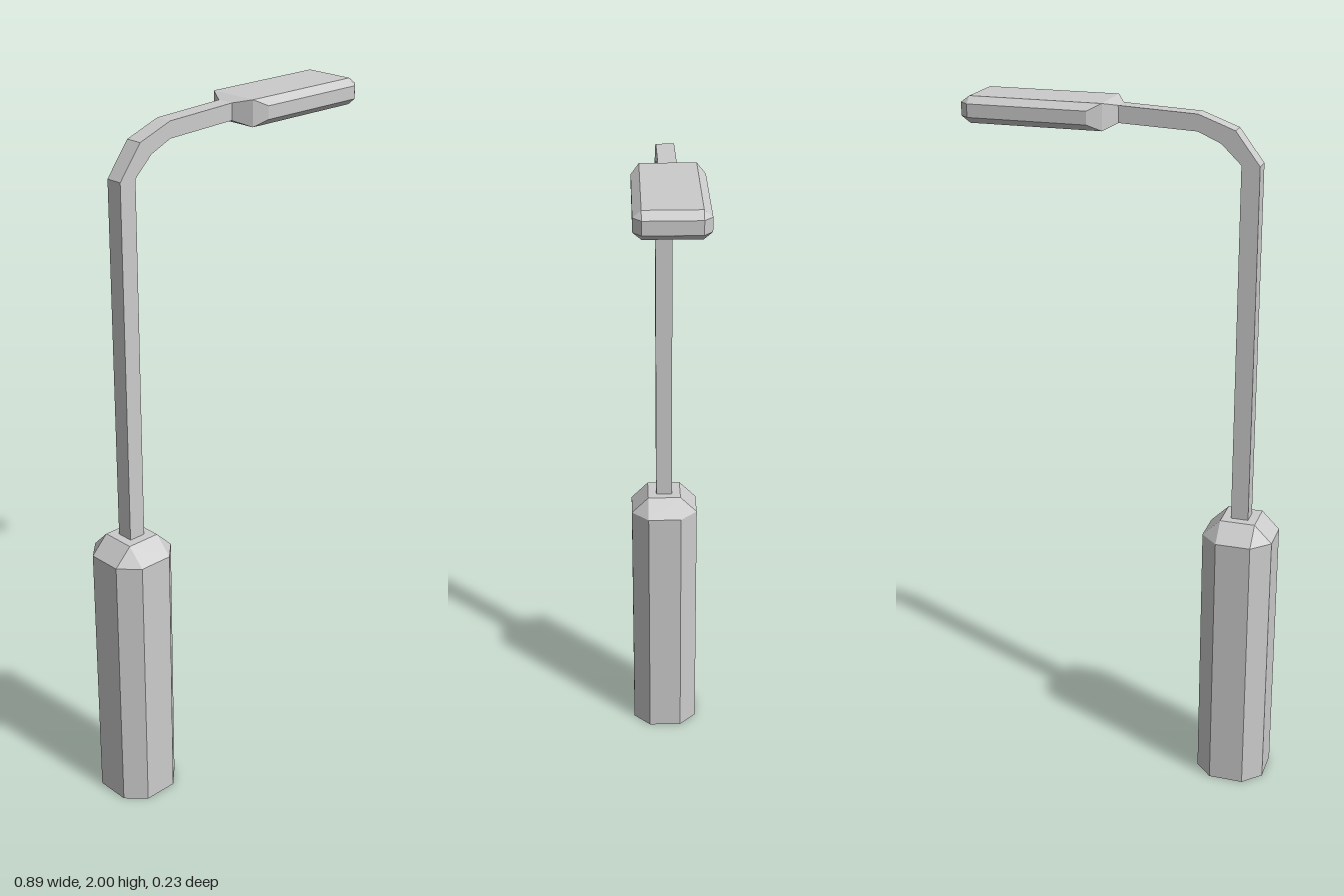
import * as THREE from 'three';
import { ConvexGeometry } from 'three/addons/geometries/ConvexGeometry.js';

const material = new THREE.MeshStandardMaterial({ color: 0xcccccc, flatShading: true });

function addPart(parent, name, geometry) {
  const mesh = new THREE.Mesh(geometry, material);
  mesh.name = name;
  parent.add(mesh);
  return mesh;
}

// Convex solid from [x, y, z] points, each mirrored across z = 0
function mirroredHull(points) {
  return new ConvexGeometry(points.flatMap(([x, y, z]) => [
    new THREE.Vector3(x, y, z),
    new THREE.Vector3(x, y, -z),
  ]));
}

export function createModel() {
  const model = new THREE.Group();
  model.name = 'streetLamp';

  // Lamp with its pole on the local y axis and its arm along local x
  const lamp = new THREE.Group();
  lamp.name = 'lamp';
  lamp.position.set(-0.342, 0, -0.011);
  lamp.rotation.y = -0.037;
  model.add(lamp);

  // Base: chamfered square column whose shoulders slope up to a square top
  const wide = 0.101, narrow = 0.05;
  const basePoints = [];
  for (const s of [-1, 1]) {
    for (const y of [0, 0.786]) {
      basePoints.push([s * wide, y, narrow], [s * narrow, y, wide]);
    }
    basePoints.push([s * narrow, 0.837, narrow]);
  }
  addPart(lamp, 'base', mirroredHull(basePoints));

  // Pole and arm: one square bar that bends forward at the top
  const profile = new THREE.Shape([
    [-0.025, 0.83], [0.025, 0.83], [0.025, 1.852], [0.08, 1.905],
    [0.144, 1.933], [0.36, 1.942], [0.36, 1.988], [0.144, 1.978],
    [0.043, 1.941], [-0.025, 1.852],
  ].map(([x, y]) => new THREE.Vector2(x, y)));
  const bar = new THREE.ExtrudeGeometry(profile, { depth: 0.049, bevelEnabled: false });
  bar.translate(0, 0, -0.0245);
  addPart(lamp, 'poleAndArm', bar);

  // Lamp head: bevelled slab narrowing to the arm
  const headPoints = [];
  for (const s of [-1, 1]) {
    const inner = 1.964 + s * 0.018, outer = 1.964 + s * 0.036;
    headPoints.push(
      [0.36, 1.965 + s * 0.023, 0.0245],
      [0.389, outer, 0.0735],
      [0.425, inner, 0.095],
      [0.76, inner, 0.095],
      [0.76, outer, 0.0735],
      [0.785, inner, 0.0735],
    );
  }
  addPart(lamp, 'lampHead', mirroredHull(headPoints));

  return model;
}
